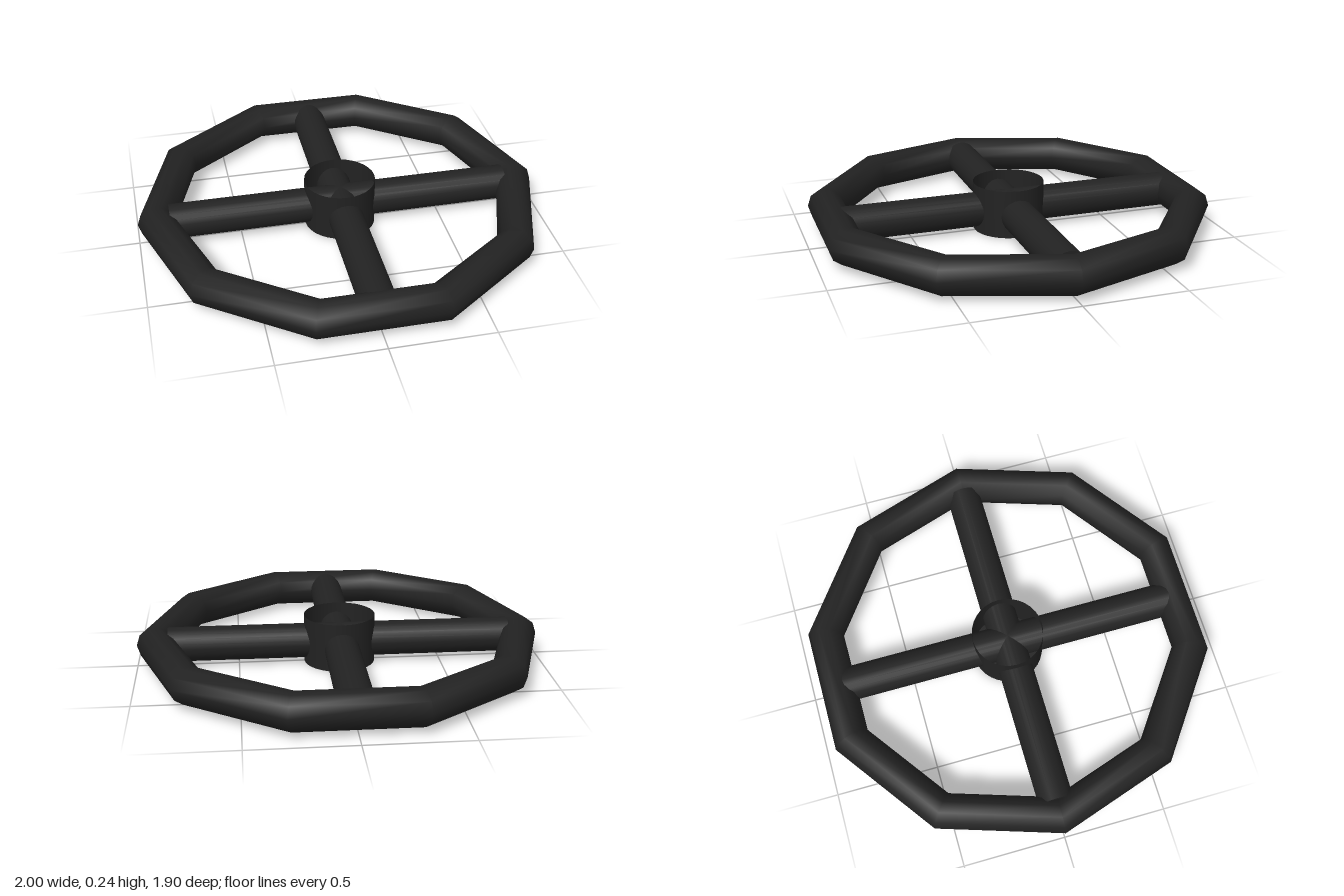
import * as THREE from 'three';

export function createModel() {
  const model = new THREE.Group();
  model.name = 'handwheel';
  const material = new THREE.MeshStandardMaterial({ color: 0x222222 });
  const openMaterial = new THREE.MeshStandardMaterial({ color: 0x222222, side: THREE.DoubleSide });
  const midY = 0.107;

  const add = (name, geometry, mat, y) => {
    const mesh = new THREE.Mesh(geometry, mat);
    mesh.name = name;
    mesh.position.y = y;
    model.add(mesh);
    return mesh;
  };

  // Ten-sided grip ring, lying flat
  add('rim', new THREE.TorusGeometry(0.91, 0.09, 10, 10).rotateX(Math.PI / 2), material, midY);

  // Two full-width bars crossing in the hub make four spokes
  for (const [name, turn] of [['crossSpoke', 0], ['lengthwiseSpoke', Math.PI / 2]]) {
    const bar = new THREE.CylinderGeometry(0.085, 0.085, 1.69, 20).rotateZ(Math.PI / 2).rotateY(turn);
    add(name, bar, material, midY);
  }

  // Hub sleeve: open at the top, closed underneath
  const hubHeight = 0.24, hubRadius = 0.175;
  add('hub', new THREE.CylinderGeometry(hubRadius, hubRadius, hubHeight, 32, 1, true), openMaterial, hubHeight / 2);
  add('hubBase', new THREE.CircleGeometry(hubRadius, 32).rotateX(Math.PI / 2), openMaterial, 0);

  return model;
}
